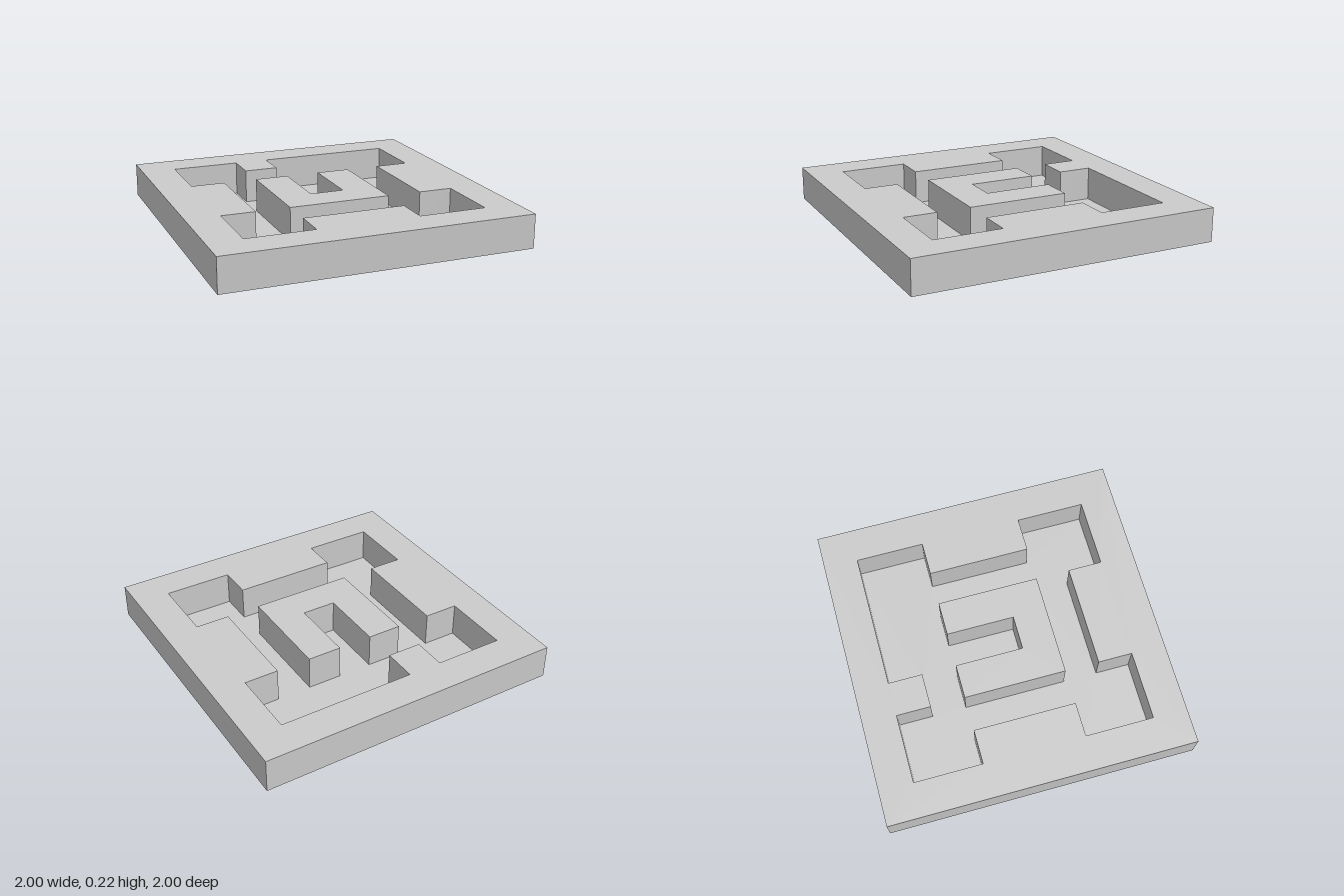
import * as THREE from 'three';
import { mergeGeometries } from 'three/addons/utils/BufferGeometryUtils.js';

const U = 1 / 9;      // half a maze cell
const H = 2 * U;      // wall height

// Plan outlines as [x, z] in half cells, wound so that walls face the open side
const OUTER = [[-9, -9], [-9, 9], [9, 9], [9, -9]];
const CORRIDOR = [
  [-7, -7], [-3, -7], [-3, -5], [-1, -5], [-1, -7], [7, -7], [7, -3], [5, -3], [5, 3], [7, 3],
  [7, 7], [3, 7], [3, 5], [-3, 5], [-3, 7], [-7, 7], [-7, 3], [-5, 3], [-5, -3], [-7, -3],
];
const ISLAND = [[-3, -3], [-3, 3], [3, 3], [3, -3], [1, -3], [1, 1], [-1, 1], [-1, -3]];

const toPoints = (loop) => loop.map(([x, z]) => new THREE.Vector2(x * U, -z * U));

// Horizontal sheet at height y, with an optional hole
function sheet(loop, y, hole) {
  const shape = new THREE.Shape(toPoints(loop));
  if (hole) shape.holes.push(new THREE.Path(toPoints(hole)));
  return new THREE.ShapeGeometry(shape).rotateX(-Math.PI / 2).translate(0, y, 0);
}

// Upright panels along every edge of a closed outline
function walls(loop) {
  return mergeGeometries(loop.map(([x, z], i) => {
    const [x2, z2] = loop[(i + 1) % loop.length];
    const dx = x2 - x, dz = z2 - z;
    return new THREE.PlaneGeometry(Math.hypot(dx, dz) * U, H)
      .rotateY(Math.atan2(-dz, dx))
      .translate((x + x2) / 2 * U, H / 2, (z + z2) / 2 * U);
  }));
}

export function createModel() {
  const model = new THREE.Group();
  model.name = 'mazeTile';
  // Thin shell, open underneath the walls
  const material = new THREE.MeshStandardMaterial({ color: 0xcccccc, side: THREE.DoubleSide });
  const add = (name, geometry) => {
    const mesh = new THREE.Mesh(geometry, material);
    mesh.name = name;
    model.add(mesh);
  };

  add('outerWalls', walls(OUTER));
  add('corridorWalls', walls(CORRIDOR));
  add('rimTop', sheet(OUTER, H, CORRIDOR));
  add('islandWalls', walls(ISLAND));
  add('islandTop', sheet(ISLAND, H));
  add('corridorFloor', sheet(CORRIDOR, 0, ISLAND));
  return model;
}
